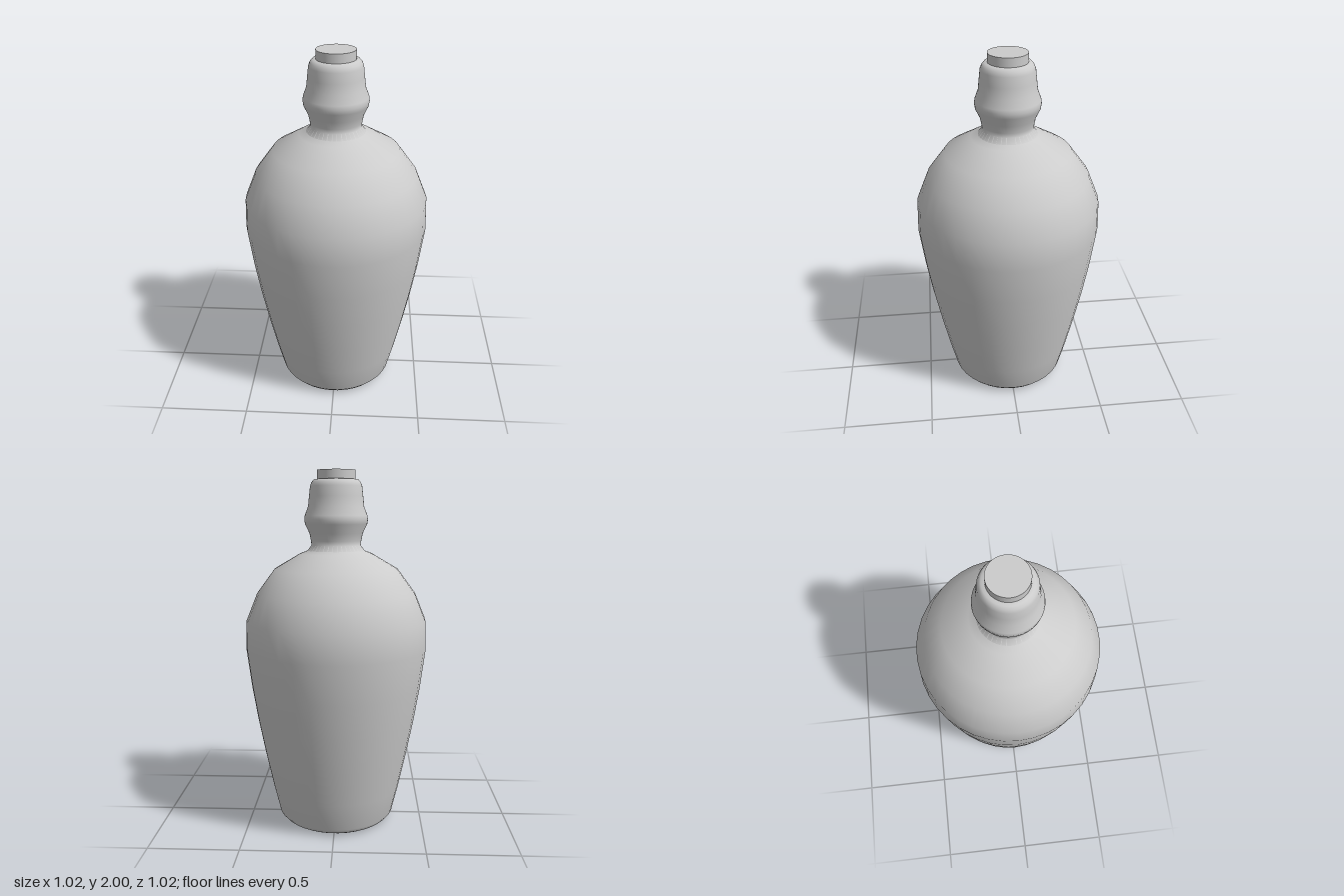
import * as THREE from 'three';

const material = new THREE.MeshStandardMaterial({ color: 0xcccccc });

// Smooth surface of revolution from [radius, height] pairs, bottom to top
function turned(name, profile, segments) {
  const points = profile.map(([r, y]) => new THREE.Vector2(r, y));
  const mesh = new THREE.Mesh(new THREE.LatheGeometry(points, segments, Math.PI / 2), material);
  mesh.name = name;
  return mesh;
}

export function createModel() {
  const bottle = new THREE.Group();
  bottle.name = 'bottle';

  // Tapered body with rounded shoulders and a bevelled foot
  bottle.add(turned('body', [
    [0, 0], [0.29, 0], [0.312, 0.013], [0.335, 0.04], [0.373, 0.2], [0.415, 0.4],
    [0.453, 0.6], [0.485, 0.8], [0.512, 1.02], [0.506, 1.18], [0.445, 1.33],
    [0.345, 1.465], [0.2, 1.55], [0.16, 1.565], [0.137, 1.595],
  ], 38));

  // Neck with a bulging ring and a rounded lip
  bottle.add(turned('neck', [
    [0.16, 1.565], [0.137, 1.595], [0.14, 1.62], [0.148, 1.66], [0.172, 1.71],
    [0.176, 1.735], [0.173, 1.757], [0.155, 1.805], [0.149, 1.86], [0.143, 1.915],
    [0.135, 1.935], [0.122, 1.95], [0.1, 1.952],
  ], 64));

  // Flat-topped stopper set into the lip
  const stopper = new THREE.Mesh(new THREE.CylinderGeometry(0.105, 0.105, 0.1, 64), material);
  stopper.name = 'stopper';
  stopper.position.y = 1.95;
  bottle.add(stopper);

  return bottle;
}
